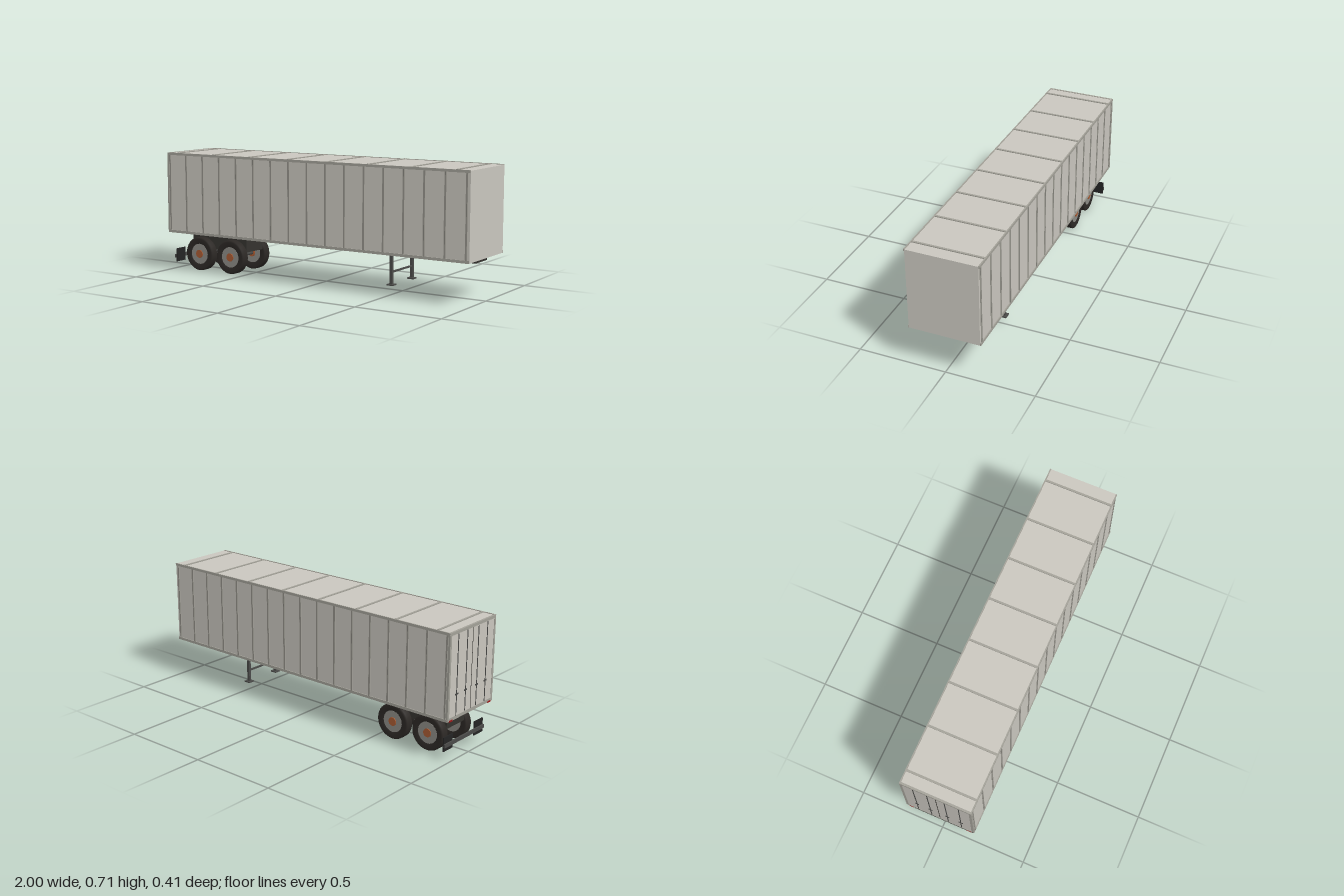
import * as THREE from 'three';

const mat = (color) => new THREE.MeshStandardMaterial({ color });

export function createModel() {
  const model = new THREE.Group();
  model.name = 'boxTrailer';
  const panel = mat(0xc9c6be), trim = mat(0xa3a198), seam = mat(0x85837c);
  const frame = mat(0x35332f), steel = mat(0x4a4a48), rubber = mat(0x2c2825);
  const flapMat = mat(0x242424), rimMat = mat(0x8b8a84), hubMat = mat(0xa85a32), red = mat(0xa01818);

  const add = (name, geometry, material, x, y, z, parent = model) => {
    const mesh = new THREE.Mesh(geometry, material);
    mesh.name = name;
    mesh.position.set(x, y, z);
    parent.add(mesh);
    return mesh;
  };
  // Box given by its limits on each axis
  const box = (name, material, [x0, x1], [y0, y1], [z0, z1], parent) =>
    add(name, new THREE.BoxGeometry(x1 - x0, y1 - y0, z1 - z0), material,
      (x0 + x1) / 2, (y0 + y1) / 2, (z0 + z1) / 2, parent);
  // Same box on both sides of the trailer
  const pair = (name, material, x, y, [z0, z1], parent) => {
    box(name + 'Left', material, x, y, [z0, z1], parent);
    box(name + 'Right', material, x, y, [-z1, -z0], parent);
  };

  // Cargo body
  const body = new THREE.Group();
  body.name = 'cargoBody';
  model.add(body);
  box('cargoBox', panel, [-0.996, 0.999], [0.229, 0.704], [-0.2, 0.2], body);
  pair('bottomRail', trim, [-0.998, 0.998], [0.228, 0.243], [0.198, 0.205], body);
  pair('topRail', trim, [-0.998, 0.998], [0.693, 0.707], [0.198, 0.205], body);

  // Side posts
  for (let i = 0; i < 17; i++) {
    const x = -0.98 + i * 0.1225;
    pair('sidePost', trim, [x - 0.006, x + 0.006], [0.243, 0.693], [0.199, 0.204], body);
    pair('sidePostSeam', seam, [x - 0.002, x + 0.002], [0.243, 0.693], [0.199, 0.2045], body);
  }

  // Roof bows
  for (let i = 0; i < 8; i++) {
    const x = -0.92 + i * 0.2629;
    box('roofBow', trim, [x - 0.006, x + 0.006], [0.702, 0.709], [-0.199, 0.199], body);
  }

  // Rear doors with frame and locking rods
  const doors = new THREE.Group();
  doors.name = 'rearDoors';
  model.add(doors);
  pair('doorPanel', panel, [-0.998, -0.99], [0.246, 0.69], [0.002, 0.19], doors);
  pair('doorPost', trim, [-1, -0.988], [0.23, 0.706], [0.19, 0.204], doors);
  box('doorSill', trim, [-1, -0.988], [0.228, 0.246], [-0.19, 0.19], doors);
  box('doorHeader', trim, [-1, -0.988], [0.69, 0.706], [-0.19, 0.19], doors);
  box('doorGap', frame, [-0.9985, -0.99], [0.246, 0.69], [-0.002, 0.002], doors);
  for (const z of [-0.13, -0.05, 0.05, 0.13]) {
    add('lockRod', new THREE.CylinderGeometry(0.003, 0.003, 0.44, 8), steel, -0.998, 0.468, z, doors);
    box('lockHandle', steel, [-1.001, -0.996], [0.36, 0.368], [z - 0.012, z + 0.012], doors);
  }
  pair('tailLight', red, [-1.001, -0.988], [0.225, 0.235], [0.16, 0.188]);

  // Chassis, suspension box and coupling pin
  box('chassisFrame', frame, [-0.97, 0.97], [0.207, 0.23], [-0.067, 0.067]);
  box('suspensionBox', frame, [-0.912, -0.51], [0.129, 0.23], [-0.08, 0.08]);
  add('kingpin', new THREE.CylinderGeometry(0.01, 0.01, 0.016, 16), steel, 0.765, 0.2, 0);

  // Wheels, turned about z: tyre cross-section is radius, width
  const tyre = new THREE.LatheGeometry([
    [0.06, -0.020], [0.068, -0.024], [0.09, -0.0255], [0.097, -0.0235], [0.1, -0.019],
    [0.1, 0.019], [0.097, 0.0235], [0.09, 0.0255], [0.068, 0.024], [0.06, 0.020],
  ].map(([r, y]) => new THREE.Vector2(r, y)), 36).rotateX(Math.PI / 2);
  const disc = (r, w) => new THREE.CylinderGeometry(r, r, w, 28).rotateX(Math.PI / 2);
  const rim = disc(0.061, 0.042), hub = disc(0.024, 0.052);
  for (const x of [-0.825, -0.595]) {
    add('axle', disc(0.012, 0.22), steel, x, 0.1, 0);
    for (const z of [-0.1075, 0.1075]) {
      const wheel = new THREE.Group();
      wheel.name = 'wheel';
      wheel.position.set(x, 0.1, z);
      model.add(wheel);
      add('tyre', tyre, rubber, 0, 0, 0, wheel);
      add('rim', rim, rimMat, 0, 0, 0, wheel);
      add('hub', hub, hubMat, 0, 0, 0, wheel);
    }
  }

  // Landing gear
  const gear = new THREE.Group();
  gear.name = 'landingGear';
  model.add(gear);
  pair('landingLeg', steel, [0.485, 0.501], [0.054, 0.23], [0.106, 0.121], gear);
  pair('landingFoot', steel, [0.473, 0.513], [0.049, 0.056], [0.094, 0.133], gear);
  box('landingBrace', steel, [0.488, 0.498], [0.117, 0.126], [-0.108, 0.108], gear);

  // Rear guard bar and mud flaps
  box('rearGuard', steel, [-0.975, -0.964], [0.071, 0.091], [-0.18, 0.18]);
  pair('mudFlap', flapMat, [-0.966, -0.959], [0.048, 0.127], [0.1, 0.178]);

  return model;
}
